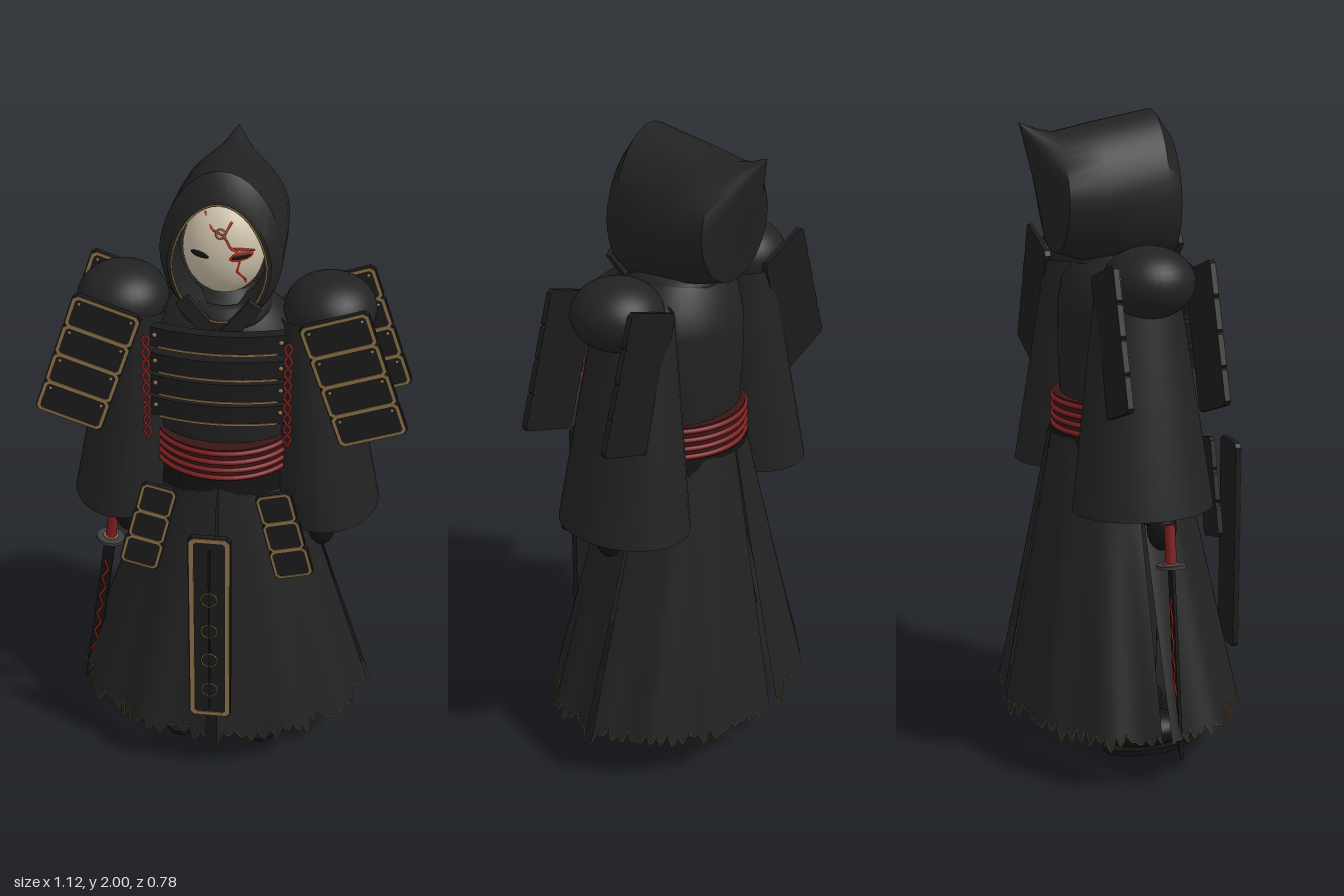
import * as THREE from 'three';
import { toCreasedNormals } from 'three/addons/utils/BufferGeometryUtils.js';

const mat = (name, color, side = THREE.FrontSide) => {
  const m = new THREE.MeshStandardMaterial({ color, side });
  m.name = name;
  return m;
};
const cloth = mat('charcoal cloth', 0x222222, THREE.DoubleSide);
const armor = mat('black lacquer', 0x1b1b1c);
const leather = mat('black leather', 0x131313);
const gold = mat('old gold', 0x8f7145);
const red = mat('crimson cord', 0x7c1f20);
const sashRed = mat('dark red sash', 0x3a1517);
const glow = mat('glowing red', 0xc4240f);
const bone = mat('bone', 0xcabea6);
const steel = mat('dark steel', 0x3c3c3e);

const lerp = THREE.MathUtils.lerp;
const V = (x, y, z = 0) => new THREE.Vector3(x, y, z);

function add(parent, name, geo, material, pos = [0, 0, 0], rot = [0, 0, 0], scale = [1, 1, 1]) {
  const m = new THREE.Mesh(geo, material);
  m.name = name;
  m.position.set(...pos);
  m.rotation.set(...rot);
  m.scale.set(...scale);
  parent.add(m);
  return m;
}
function addGroup(parent, name, pos = [0, 0, 0], rotZ = 0) {
  const g = new THREE.Group();
  g.name = name;
  g.position.set(...pos);
  g.rotation.z = rotZ;
  parent.add(g);
  return g;
}
// Surface grid from a rule f(u, v); faces point along du x dv
function grid(nu, nv, f) {
  const pos = [], idx = [];
  for (let i = 0; i <= nv; i++) for (let j = 0; j <= nu; j++) pos.push(...f(j / nu, i / nv, j, i));
  for (let i = 0; i < nv; i++) for (let j = 0; j < nu; j++) {
    const a = i * (nu + 1) + j, c = a + nu + 1;
    idx.push(a, a + 1, c, a + 1, c + 1, c);
  }
  const g = new THREE.BufferGeometry();
  g.setAttribute('position', new THREE.Float32BufferAttribute(pos, 3));
  g.setIndex(idx);
  g.computeVertexNormals();
  return g;
}
const ball = new THREE.SphereGeometry(1, 32, 20);
const tube = (pts, r, n = 48, closed = false) =>
  new THREE.TubeGeometry(new THREE.CatmullRomCurve3(pts, closed, 'catmullrom', 0.1), n, r, 5, closed);

// Rectangle with cut corners
function cutRect(w, h, c, T = THREE.Shape) {
  const x = w / 2, y = h / 2;
  return new T([[-x + c, -y], [x - c, -y], [x, -y + c], [x, y - c], [x - c, y], [-x + c, y], [-x, y - c], [-x, -y + c]]
    .map(p => new THREE.Vector2(...p)));
}
// Dark plate with a raised gold border on its front
function framedPlate(parent, name, w, h, d, t, pos) {
  const g = addGroup(parent, name, pos);
  add(g, 'plate', new THREE.ExtrudeGeometry(cutRect(w, h, 0.012), { depth: d, bevelEnabled: false }), armor, [0, 0, -d / 2]);
  const border = cutRect(w - 0.008, h - 0.004, 0.012);
  border.holes.push(cutRect(w - 0.008 - 2 * t, h - 0.004 - 2 * t, 0.008, THREE.Path));
  add(g, 'goldBorder', new THREE.ExtrudeGeometry(border, { depth: 0.003, bevelEnabled: false }), gold, [0, 0, d / 2]);
  return g;
}
// Curved breastplate strip, bowed toward the front
function bowedStrip(R, thick, half, h) {
  const s = new THREE.Shape();
  s.absarc(0, 0, R, Math.PI / 2 - half, Math.PI / 2 + half, false);
  s.absarc(0, 0, R - thick, Math.PI / 2 + half, Math.PI / 2 - half, true);
  const g = new THREE.ExtrudeGeometry(s, { depth: h, bevelEnabled: false, curveSegments: 14 });
  return g.rotateX(Math.PI / 2).translate(0, h / 2, 0);
}

function buildHood(root) {
  // z, half width, top, bottom of each ring; the last one closes at the tip
  const rings = [[0.02, 0.13, 1.9, 1.57], [0.14, 0.137, 1.92, 1.55], [0.138, 0.15, 1.935, 1.54], [0.09, 0.179, 2, 1.52],
    [-0.1, 0.175, 1.965, 1.545], [-0.215, 0.166, 1.94, 1.58], [-0.265, 0.07, 1.95, 1.78], [-0.32, 0, 1.97, 1.97]];
  const point = (r, u) => {
    const a = u * Math.PI * 2, c = Math.cos(a);
    return [r[1] * Math.sin(a) * (1 - 0.12 * Math.max(c, 0)), (r[2] + r[3]) / 2 + c * (r[2] - r[3]) / 2, r[0]];
  };
  const g = addGroup(root, 'hood');
  add(g, 'hoodCloth', toCreasedNormals(grid(36, rings.length - 1, (u, v, j, i) => point(rings[i], u)), 0.7), cloth);
  const rim = [...Array(32).keys()].map(k => V(...point([0.141, 0.137, 1.92, 1.55], k / 32)));
  add(g, 'goldRim', tube(rim, 0.003, 96, true), gold);
}

function buildMask(root) {
  const g = addGroup(root, 'mask'), c = [0, 1.74, 0.03], r = [0.12, 0.142, 0.09];
  add(g, 'face', ball, bone, c, [0, 0, 0], r);
  const onFace = (x, y) => V(x, y, c[2] + r[2] * Math.sqrt(Math.max(0, 1 - (x / r[0]) ** 2 - ((y - c[1]) / r[1]) ** 2)));
  [[[-0.05, 1.86], [-0.025, 1.825], [0.01, 1.81], [0.03, 1.775], [0.06, 1.755], [0.048, 1.7], [0.068, 1.67], [0.07, 1.63]],
    [[0.03, 1.775], [0.065, 1.77], [0.095, 1.76]], [[0.01, 1.81], [0.03, 1.845]]]
    .forEach(p => add(g, 'crack', tube(p.map(q => onFace(...q)), 0.0035), glow));
  // Slit eyes laid along the curve of the face
  for (const s of [-1, 1]) {
    const p = onFace(s * 0.06, 1.75);
    if (s > 0) add(g, 'eyeGlow', ball, glow, [p.x, p.y, p.z], [0, s * 0.42, s * 0.15], [0.036, 0.015, 0.003]);
    add(g, 'eye', ball, leather, [p.x, p.y, p.z + 0.001], [0, s * 0.42, s * 0.1], [0.03, 0.009, 0.0045]);
  }
  const f = onFace(0, 1.815);
  add(g, 'browMark', new THREE.TorusGeometry(0.013, 0.003, 5, 16), gold, [f.x, f.y, f.z], [-0.35, 0, 0]);
}

function buildTorso(root) {
  const profile = [[0.2, 1], [0.215, 1.1], [0.225, 1.25], [0.225, 1.42], [0.205, 1.5], [0.15, 1.555], [0.07, 1.6]];
  add(root, 'torso', new THREE.LatheGeometry(profile.map(p => new THREE.Vector2(...p)), 40), cloth, [0, 0, -0.02], [0, 0, 0], [1, 1, 0.77]);
  add(root, 'scarf', new THREE.TorusGeometry(0.105, 0.038, 12, 32), cloth, [0, 1.545, 0], [Math.PI / 2, 0, 0]);
  for (const s of [-1, 1])
    add(root, 'lapel', new THREE.BoxGeometry(0.045, 0.17, 0.018), cloth, [s * 0.055, 1.555, 0.145 + s * 0.004], [0.1, 0, -s * 0.65]);

  // Breastplate strips with gold lines, studs and side lacing
  const chest = addGroup(root, 'breastplate');
  [1.505, 1.42, 1.345, 1.27].forEach((y, i) => {
    add(chest, 'strip', bowedStrip(0.59, 0.035, 0.345, 0.062), armor, [0, y, -0.39]);
    add(chest, 'goldLine', bowedStrip(0.592, 0.006, 0.3, 0.007), gold, [0, y - 0.03, -0.39]);
    for (const s of [-1, 1]) add(chest, 'stud', ball, gold, [s * 0.185, y + 0.008, 0.173], [0, 0, 0], [0.007, 0.007, 0.005]);
  });
  for (const s of [-1, 1]) for (const ph of [0, Math.PI]) {
    const pts = [...Array(25).keys()].map(k => V(s * (0.208 + 0.011 * Math.sin(k * 1.2 + ph)), 1.52 - k * 0.0146, 0.186 + 0.012 * Math.sin(k / 24 * Math.PI)));
    add(chest, 'lacing', tube(pts, 0.0045, 72), red);
  }

  // Sash with cords, and the belt below it
  add(root, 'sash', new THREE.CylinderGeometry(0.217, 0.217, 0.11, 48), sashRed, [0, 1.088, -0.012], [0, 0, 0], [1, 1, 0.93]);
  for (const y of [1.13, 1.1, 1.072, 1.045])
    add(root, 'sashCord', new THREE.TorusGeometry(0.218, 0.008, 8, 56), red, [0, y, -0.012], [Math.PI / 2, 0, 0], [1, 0.93, 1]);
  add(root, 'belt', new THREE.CylinderGeometry(0.213, 0.222, 0.075, 48), leather, [0, 1.0, -0.025], [0, 0, 0], [1, 1, 0.93]);
}

// Robe skirt: four panels with slits between and a ragged hem
function buildSkirt(root) {
  const hash = n => { const s = Math.sin(n * 127.1 + 3.7) * 43758.5453; return s - Math.floor(s); };
  const N = 36;
  for (let q = 0; q < 4; q++) {
    const point = (u, v, j) => {
      const y = lerp(0.135 + 0.025 * (j % 2) + 0.035 * hash(j + q * 50), 1.03, v);
      const t = (1.03 - y) / 0.87, gap = 0.012 + 0.026 * t;
      const a = q * Math.PI / 2 + lerp(gap, Math.PI / 2 - gap, u);
      const k = 1 + 0.028 * t * Math.sin(a * 12 + 1.2);
      return [Math.sin(a) * lerp(0.195, 0.465, t) * k, y, lerp(-0.03, -0.018, t) + Math.cos(a) * lerp(0.2, 0.365, t) * k];
    };
    add(root, 'skirtPanel', grid(N, 12, point), cloth);
    const hem = [...Array(N + 1).keys()].map(j => V(...point(j / N, 0, j)));
    add(root, 'hemThread', tube(hem, 0.0018, 108), gold);
  }
}

function buildSide(root, s) {
  const side = s > 0 ? 'left' : 'right';
  // Wide bell sleeve and pauldron
  add(root, side + 'Sleeve', grid(36, 8, (u, v) => {
    const a = u * Math.PI * 2;
    return [s * lerp(0.31, 0.25, v) + Math.sin(a) * lerp(0.17, 0.1, v), lerp(0.86, 1.52, v), -0.04 + Math.cos(a) * lerp(0.215, 0.125, v)];
  }), cloth);
  add(root, side + 'Pauldron', ball, cloth, [s * 0.31, 1.532, -0.025], [0, 0, 0], [0.138, 0.106, 0.137]);
  // Forearm and gloved hand
  add(root, side + 'Forearm', new THREE.CylinderGeometry(0.055, 0.035, 0.4, 20), leather, [s * 0.3, 1.0, 0.0]);
  add(root, side + 'Hand', ball, leather, [s * 0.308, 0.785, 0.02], [0, 0, 0], [0.043, 0.07, 0.045]);
  // Shoulder guards of four lames, front and rear
  for (const z of [0.125, -0.165]) {
    const guard = addGroup(root, side + (z > 0 ? 'Front' : 'Rear') + 'Guard', [s * 0.395, 1.378, z], s * 0.33);
    for (let i = 0; i < 4; i++) {
      const lame = framedPlate(guard, 'lame', 0.212, 0.112, 0.017, 0.009, [0, 0.153 - i * 0.102, 0]);
      for (const e of [-1, 1]) add(lame, 'stud', ball, gold, [e * 0.08, 0.03, 0.009], [0, 0, 0], [0.005, 0.005, 0.004]);
    }
  }
  // Hip guard of three lames
  const hip = addGroup(root, side + 'HipGuard', [s * 0.207, 0.868, 0.213], s * 0.245);
  for (let i = 0; i < 3; i++) framedPlate(hip, 'lame', 0.112 + i * 0.005, 0.106, 0.014, 0.007, [0, 0.1 - i * 0.1, 0]);
  // Leg and boot
  add(root, side + 'Leg', new THREE.CylinderGeometry(0.08, 0.068, 0.75, 24), cloth, [s * 0.13, 0.46, -0.005]);
  add(root, side + 'Boot', ball, leather, [s * 0.13, 0.062, 0.038], [0, 0, 0], [0.08, 0.055, 0.147]);
  add(root, side + 'Sole', new THREE.CylinderGeometry(1, 0.95, 0.02, 32), leather, [s * 0.13, 0.01, 0.038], [0, 0, 0], [0.075, 1, 0.147]);
}

function buildTabard(root) {
  const g = framedPlate(root, 'tabard', 0.13, 0.68, 0.018, 0.013, [0, 0.61, 0.367]);
  add(g, 'centreCord', new THREE.BoxGeometry(0.006, 0.6, 0.006), leather, [0, 0, 0.017]);
  for (const y of [0.12, 0, -0.112, -0.228]) {
    add(g, 'medallion', new THREE.CylinderGeometry(0.024, 0.024, 0.005, 24), armor, [0, y, 0.016], [Math.PI / 2, 0, 0]);
    add(g, 'medallionRing', new THREE.TorusGeometry(0.025, 0.0025, 5, 24), gold, [0, y, 0.018]);
  }
}

function buildSword(root) {
  const g = addGroup(root, 'sword', [-0.367, 0.682, 0.03], -0.15);
  add(g, 'grip', new THREE.CylinderGeometry(0.017, 0.017, 0.13, 12), red, [0, 0.06, 0]);
  add(g, 'handGuard', new THREE.CylinderGeometry(0.045, 0.045, 0.01, 24), steel);
  add(g, 'guardCollar', new THREE.CylinderGeometry(0.024, 0.024, 0.018, 16), gold);
  const blade = new THREE.Shape([[-0.018, 0], [0.018, 0], [0.018, -0.53], [-0.016, -0.59]].map(p => new THREE.Vector2(...p)));
  add(g, 'blade', new THREE.ExtrudeGeometry(blade, { depth: 0.01, bevelEnabled: false }), leather, [0, 0, -0.005]);
  for (const z of [-0.006, 0.006]) {
    const pts = [...Array(13).keys()].map(k => V((k % 2 ? 1 : -1) * 0.008, -0.09 - k * 0.037, z));
    add(g, 'bladeCrack', tube(pts, 0.003), glow);
  }
}

export function createModel() {
  const root = new THREE.Group();
  root.name = 'hoodedWarrior';
  buildHood(root);
  buildMask(root);
  buildTorso(root);
  buildSkirt(root);
  for (const s of [-1, 1]) buildSide(root, s);
  buildTabard(root);
  buildSword(root);
  return root;
}
